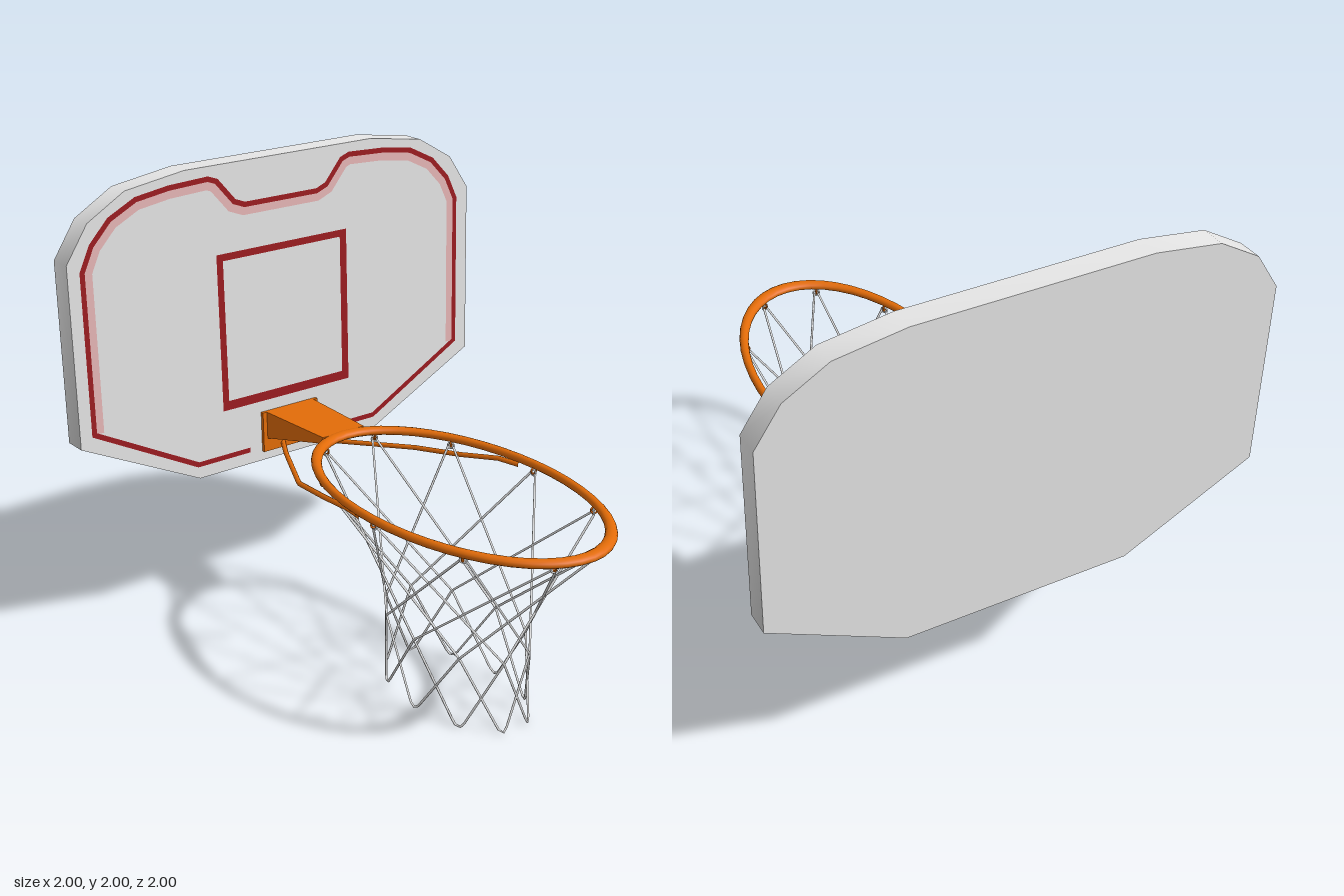
import * as THREE from 'three';
import { toCreasedNormals } from 'three/addons/utils/BufferGeometryUtils.js';

const paint = (name, color) => {
  const m = new THREE.MeshStandardMaterial({ color });
  m.name = name;
  return m;
};
const V2 = (x, y) => new THREE.Vector2(x, y);
const V3 = (x, y, z) => new THREE.Vector3(x, y, z);

// Mirror a right-hand point list into a full path running from left to right
const mirrored = (half) => [...half.map(([x, y]) => V2(-x, y)), ...half.slice().reverse().map(([x, y]) => V2(x, y))];

// Shift a polyline sideways by d (positive to the right of travel), with mitred corners
function offset(pts, d) {
  return pts.map((p, i) => {
    const a = pts[Math.max(i - 1, 0)], b = pts[Math.min(i + 1, pts.length - 1)];
    const n1 = i > 0 ? V2(p.y - a.y, a.x - p.x).normalize() : null;
    const n2 = i < pts.length - 1 ? V2(b.y - p.y, p.x - b.x).normalize() : null;
    const n = (n1 && n2 ? n1.clone().add(n2) : (n1 || n2).clone()).normalize();
    return p.clone().addScaledVector(n, d / n.dot(n1 || n2));
  });
}
const ribbon = (pts, from, to) =>
  new THREE.ShapeGeometry(new THREE.Shape([...offset(pts, from), ...offset(pts, to).reverse()]));

export function createModel() {
  const root = new THREE.Group();
  root.name = 'basketballHoop';
  const grey = paint('board grey', 0xe6e6e6);
  const red = paint('line red', 0x9c1c20);
  const pink = paint('faded pink', 0xeebcbc);
  const orange = paint('rim orange', 0xe36c08);
  const cord = paint('net grey', 0xe2e2e2);
  const add = (name, geometry, material, parent = root) => {
    const mesh = new THREE.Mesh(geometry, material);
    mesh.name = name;
    parent.add(mesh);
    return mesh;
  };

  // Backboard
  const outline = mirrored([[0.46, 0.68], [1, 0.95], [1, 1.71], [0.9, 1.86], [0.73, 1.96], [0.46, 2]]);
  const board = new THREE.ExtrudeGeometry(new THREE.Shape(outline), { depth: 0.1, bevelEnabled: false });
  add('backboard', toCreasedNormals(board, 1.2), grey).position.z = -1;

  // Painted border line with a faded band just inside it
  const side = [[0.932, 1.0], [0.932, 1.67], [0.885, 1.77], [0.8, 1.86], [0.68, 1.92], [0.53, 1.942],
    [0.35, 1.95], [0.31, 1.935], [0.23, 1.84], [0.18, 1.82]];
  const border = mirrored([[0.2, 0.745], [0.46, 0.745], ...side]);
  add('borderLine', ribbon(border, -0.011, 0.011), red).position.set(-0.006, 0, -0.896);
  add('fadedBorder', ribbon(mirrored(side), 0.008, 0.044), pink).position.set(-0.006, 0, -0.898);

  // Target square
  const rect = (x0, y0, x1, y1) => [V2(x0, y0), V2(x1, y0), V2(x1, y1), V2(x0, y1)];
  const square = new THREE.Shape(rect(-0.332, 0.953, 0.322, 1.632));
  square.holes.push(new THREE.Path(rect(-0.302, 0.993, 0.288, 1.602)));
  add('targetSquare', new THREE.ShapeGeometry(square), red).position.z = -0.896;

  // Bracket: mounting plate and a tapering arm that is open underneath
  add('mountingPlate', new THREE.BoxGeometry(0.285, 0.18, 0.015), orange).position.set(0, 0.812, -0.8925);
  const armTop = new THREE.Shape([V2(-0.123, 0.89), V2(-0.105, 0.5), V2(0.105, 0.5), V2(0.123, 0.89)]);
  const topPlate = new THREE.ExtrudeGeometry(armTop, { depth: 0.01, bevelEnabled: false });
  add('bracketTop', topPlate.rotateX(-Math.PI / 2), orange).position.y = 0.892;
  const cheek = new THREE.Shape([V2(-0.39, 0.78), V2(0, 0.875), V2(0, 0.9), V2(-0.39, 0.9)]);
  for (const s of [-1, 1]) {
    const plate = new THREE.ExtrudeGeometry(cheek, { depth: 0.01, bevelEnabled: false });
    const mesh = add('bracketSide', plate.translate(0, 0, -0.005).rotateY(-Math.PI / 2), orange);
    mesh.position.set(s * 0.1, 0, -0.5);
    mesh.rotation.y = -s * Math.atan2(0.018, 0.39);
  }

  // Oval rim
  const rim = new THREE.TorusGeometry(1, 0.04, 12, 48).rotateX(Math.PI / 2).scale(0.41, 0.44, 0.733);
  add('rim', rim, orange).position.set(0, 0.887, 0.2345);

  // Support rods running from the plate to the underside of the rim
  for (const s of [-1, 1]) {
    const path = new THREE.CurvePath();
    const pts = [[0.04, 0.742, -0.89], [0.115, 0.75, -0.76], [0.3, 0.785, -0.4], [0.345, 0.82, -0.16],
      [0.385, 0.858, 0.04], [0.4, 0.862, 0.15]].map(([x, y, z]) => V3(s * x, y, z));
    for (let i = 1; i < pts.length; i++) path.add(new THREE.LineCurve3(pts[i - 1], pts[i]));
    add('supportRod', new THREE.TubeGeometry(path, 40, 0.011, 8), orange);
  }

  // Net: ten cords, each hanging from a hook to a rounded tip and back up
  const net = new THREE.Group();
  net.name = 'net';
  root.add(net);
  const step = Math.PI / 5;
  const ring = (k, rx, rz, y) => V3(rx * Math.cos(k * step), y, 0.2325 + rz * Math.sin(k * step));
  for (let k = 0; k < 10; k++) {
    const top = (j) => ring(j, 0.398, 0.717, 0.852);
    const mid = (j) => ring(j, 0.212, 0.385, 0.31);
    const tip = ring(k + 3, 0.215, 0.39, -0.015);
    const a = mid(k + 2), b = mid(k + 4);
    const a2 = a.clone().lerp(tip, 0.87), b2 = b.clone().lerp(tip, 0.87);
    const path = new THREE.CurvePath();
    path.add(new THREE.LineCurve3(top(k + 0.03), a));
    path.add(new THREE.LineCurve3(a, a2));
    path.add(new THREE.QuadraticBezierCurve3(a2, tip, b2));
    path.add(new THREE.LineCurve3(b2, b));
    path.add(new THREE.LineCurve3(b, top(k + 5.97)));
    add('cord', new THREE.TubeGeometry(path, 90, 0.005, 6), cord, net);

    // Small hook under the rim, with the cord looped through it
    const hook = add('hook', new THREE.TorusGeometry(0.013, 0.004, 6, 12), orange, net);
    hook.position.copy(ring(k, 0.403, 0.72, 0.864));
    hook.rotation.y = -k * step;
    const loop = add('cordLoop', new THREE.TorusGeometry(0.013, 0.004, 6, 12), cord, net);
    loop.position.copy(ring(k, 0.4, 0.718, 0.856));
    loop.rotation.y = Math.PI / 2 - k * step;
  }
  return root;
}
